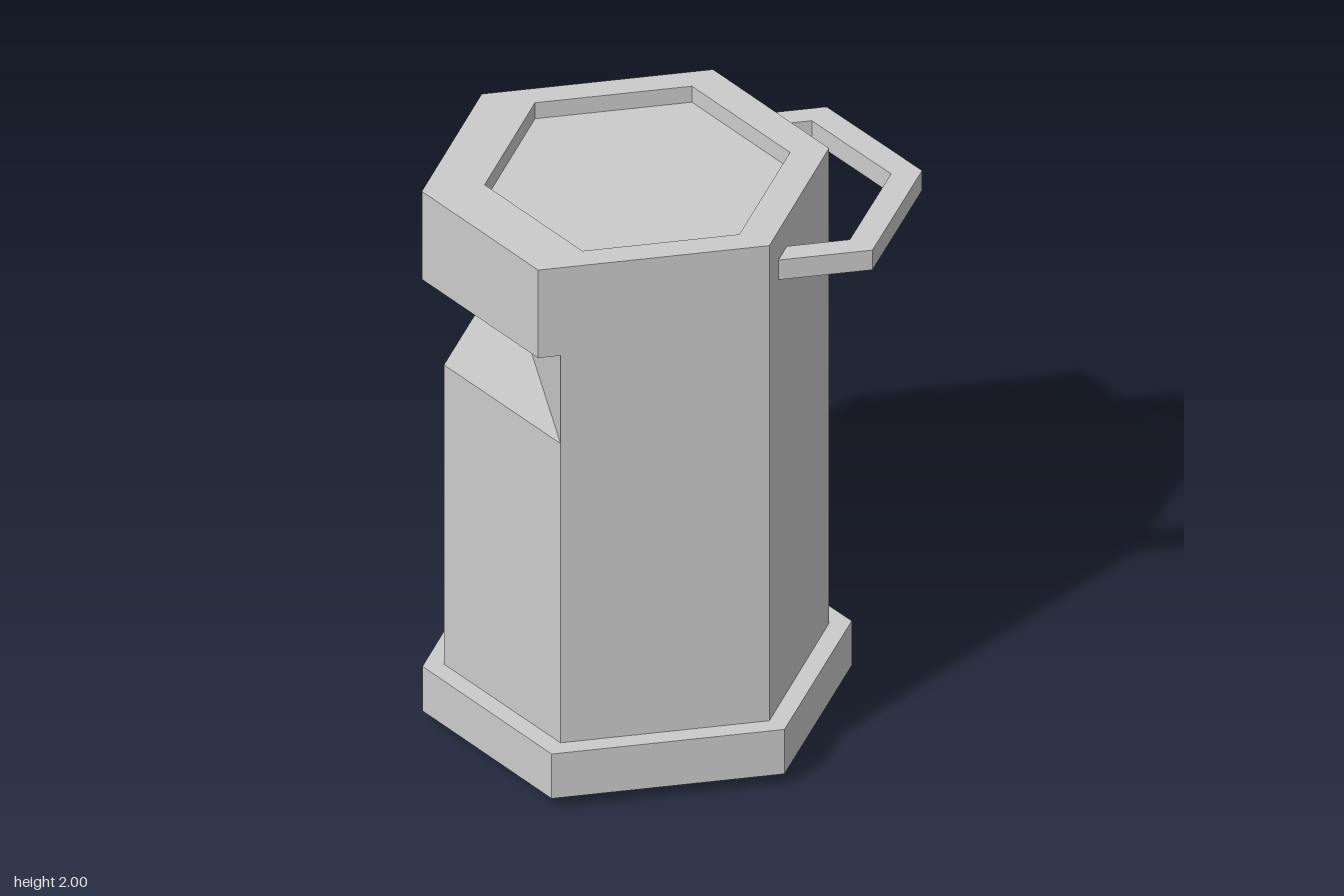
import * as THREE from 'three';

const material = new THREE.MeshStandardMaterial({ color: 0xcccccc, flatShading: true });

// Plan outline given as [x, z] points
const trace = (target, points) => {
  points.forEach(([x, z], i) => (i ? target.lineTo(x, -z) : target.moveTo(x, -z)));
  target.closePath();
  return target;
};

// Upright prism over a plan outline, with an optional hole
function slab(name, points, y0, y1, hole) {
  const shape = trace(new THREE.Shape(), points);
  if (hole) shape.holes.push(trace(new THREE.Path(), hole));
  const geometry = new THREE.ExtrudeGeometry(shape, { depth: y1 - y0, bevelEnabled: false });
  geometry.rotateX(-Math.PI / 2).translate(0, y0, 0);
  const mesh = new THREE.Mesh(geometry, material);
  mesh.name = name;
  return mesh;
}

// Hexagon with points on the x axis and two sides parallel to it
const hexagon = (left, x0, x1, right, z) => [
  [left, 0], [x0, z], [x1, z], [right, 0], [x1, -z], [x0, -z],
];

// Rectangular foot tapering downwards
function foot(x, z) {
  const geometry = new THREE.BoxGeometry(0.122, 0.05, 0.19);
  const p = geometry.attributes.position;
  for (let i = 0; i < p.count; i++) {
    if (p.getY(i) < 0) p.setXYZ(i, p.getX(i) * 0.53, p.getY(i), p.getZ(i) * 0.54);
  }
  geometry.computeVertexNormals();
  const mesh = new THREE.Mesh(geometry, material);
  mesh.position.set(x, 0.025, z);
  mesh.name = 'foot';
  return mesh;
}

export function createModel() {
  const model = new THREE.Group();
  model.name = 'bin';

  // Base plinth and lower body
  model.add(slab('base', hexagon(-0.78, -0.475, 0.252, 0.56, 0.532), 0.05, 0.217));
  model.add(slab('lowerBody', hexagon(-0.713, -0.437, 0.215, 0.489, 0.478), 0.217, 1.34));

  // Wall behind the opening, cut flat on the left
  const neck = [[-0.437, 0.478], [0.215, 0.478], [0.489, 0], [0.215, -0.478], [-0.437, -0.478]];
  model.add(slab('openingWall', neck, 1.34, 1.67));

  // Overhanging head with a recessed top
  const head = hexagon(-0.782, -0.507, 0.215, 0.489, 0.478);
  model.add(slab('head', head, 1.67, 1.94));
  model.add(slab('topRim', head, 1.94, 2, hexagon(-0.586, -0.355, 0.135, 0.367, 0.402)));

  // Angular handle on the side
  const handle = [
    [0.255, 0.405], [0.55, 0.405], [0.777, 0.015], [0.55, -0.373], [0.272, -0.373],
    [0.309, -0.308], [0.492, -0.308], [0.68, 0.015], [0.492, 0.337], [0.295, 0.337],
  ];
  model.add(slab('handle', handle, 1.816, 1.89));

  // Four feet
  for (const [x, z] of [[-0.527, 0], [-0.125, 0.35], [-0.125, -0.35], [0.337, 0]]) model.add(foot(x, z));

  return model;
}
